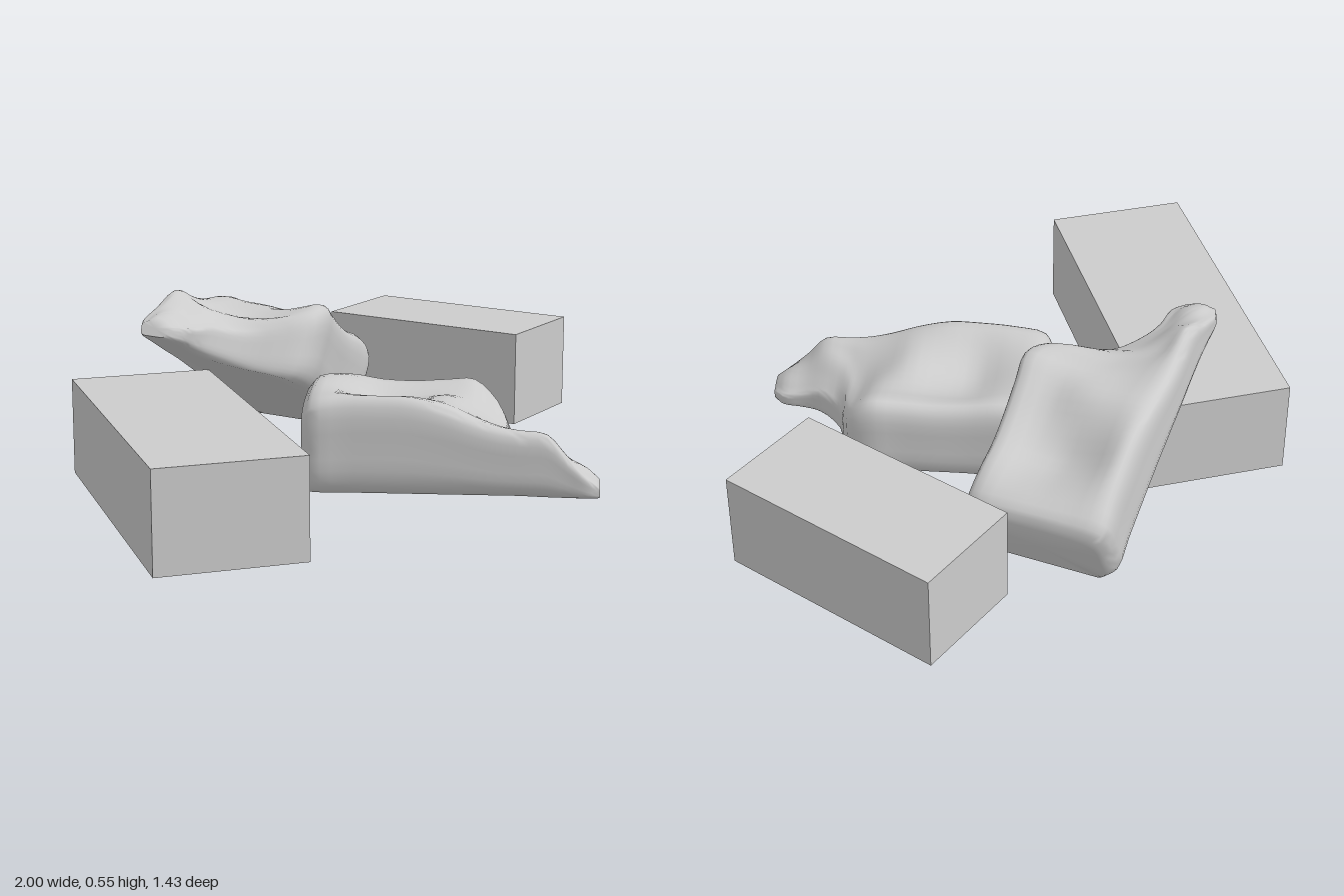
import * as THREE from 'three';
import { toCreasedNormals } from 'three/addons/utils/BufferGeometryUtils.js';

const material = new THREE.MeshStandardMaterial({ color: 0xcccccc, side: THREE.DoubleSide });

// Block with walls and a top but no underside
function openBlock(name, w, h, d, x, y, z, yaw) {
  const g = new THREE.BoxGeometry(w, h, d);
  const faces = Array.from(g.index.array);
  faces.splice(18, 6);
  g.setIndex(faces);
  g.clearGroups();
  const m = new THREE.Mesh(g, material);
  m.name = name;
  m.position.set(x, y, z);
  m.rotation.y = yaw;
  return m;
}

// Rock cross-sections: distance along, near side, far side, five top heights
const sections = [
  [-0.02, .02, .39, .235, .25, .25, .25, .23],
  [0.01, -.01, .405, .275, .285, .285, .28, .265],
  [0.10, -.01, .405, .292, .28, .265, .265, .275],
  [0.20, -.01, .405, .295, .25, .22, .23, .26],
  [0.30, -.01, .41, .292, .26, .235, .23, .255],
  [0.40, -.01, .415, .265, .26, .255, .24, .26],
  [0.48, -.01, .42, .232, .22, .22, .235, .26],
  [0.55, -.01, .39, .21, .185, .17, .18, .20],
  [0.61, -.01, .235, .20, .175, .16, .14, .12],
  [0.69, -.01, .155, .19, .175, .15, .12, .10],
  [0.75, -.01, .135, .125, .12, .11, .09, .07],
  [0.81, -.01, .125, .065, .08, .08, .07, .05],
  [0.845, .005, .09, .04, .05, .05, .045, .035],
];

// One closed outline: over the top, down the far side, back underneath
function outline([u, a, b, ...tops]) {
  const w = b - a, r = Math.min(0.025, w * 0.12);
  const h0 = tops[0], h1 = tops[4];
  const p = tops.map((h, i) => [a + r + (w - 2 * r) * i / 4, h]);
  p.push([b, h1 * 0.88], [b, h1 * 0.5], [b - r * 0.3, h1 * 0.15], [b - r * 1.5, 0]);
  p.push([a + w / 2, 0], [a + r * 1.5, 0], [a + r * 0.3, h0 * 0.15], [a, h0 * 0.5], [a, h0 * 0.9]);
  return p.map(([v, h]) => new THREE.Vector3(u, h, -v));
}

function rockGeometry() {
  const rings = sections.map(outline);
  const n = rings[0].length, around = n * 3, along = (sections.length - 1) * 3;
  // Smooth each rail lengthwise, then each ring around
  const rails = rings[0].map((_, j) => new THREE.CatmullRomCurve3(rings.map(r => r[j])));
  const pos = [], idx = [];
  for (let i = 0; i <= along; i++) {
    const ring = new THREE.CatmullRomCurve3(rails.map(c => c.getPoint(i / along)), true);
    for (let j = 0; j < around; j++) {
      const p = ring.getPoint(j / around);
      pos.push(p.x, Math.max(p.y, 0), p.z);
    }
  }
  for (let i = 0; i < along; i++) {
    for (let j = 0; j < around; j++) {
      const k = (j + 1) % around;
      const a = i * around + j, b = i * around + k;
      idx.push(a, a + around, b, b, a + around, b + around);
    }
  }
  // End caps
  for (const [i, section] of [[0, sections[0]], [along, sections[sections.length - 1]]]) {
    const centre = pos.length / 3;
    pos.push(section[0], section[5] / 2, -(section[1] + section[2]) / 2);
    for (let j = 0; j < around; j++) {
      const a = i * around + j, b = i * around + (j + 1) % around;
      if (i === 0) idx.push(centre, a, b);
      else idx.push(centre, b, a);
    }
  }
  const g = new THREE.BufferGeometry();
  g.setAttribute('position', new THREE.Float32BufferAttribute(pos, 3));
  g.setIndex(idx);
  return toCreasedNormals(g, 1.1);
}

export function createModel() {
  const model = new THREE.Group();
  model.name = 'rocksAndBlocks';

  // Open-bottomed blocks
  model.add(openBlock('longBlock', 0.422, 0.29, 1.046, -0.545, 0.145, -0.115, -0.554));
  model.add(openBlock('shortBlock', 0.337, 0.29, 0.689, 0.787, 0.215, -0.2, 0.131));

  // The same rock twice: one flat on the ground, one tipped up on the long block
  const geometry = rockGeometry();
  const flat = new THREE.Mesh(geometry, material);
  flat.name = 'flatRock';
  flat.position.set(-0.185, 0.005, 0.035);
  flat.rotation.y = -0.94;

  const tilted = new THREE.Mesh(geometry, material);
  tilted.name = 'tiltedRock';
  tilted.position.set(0.3, 0.055, -0.68);
  tilted.rotation.set(-0.06, -2.8, 0.49, 'YZX');

  model.add(flat, tilted);
  return model;
}
